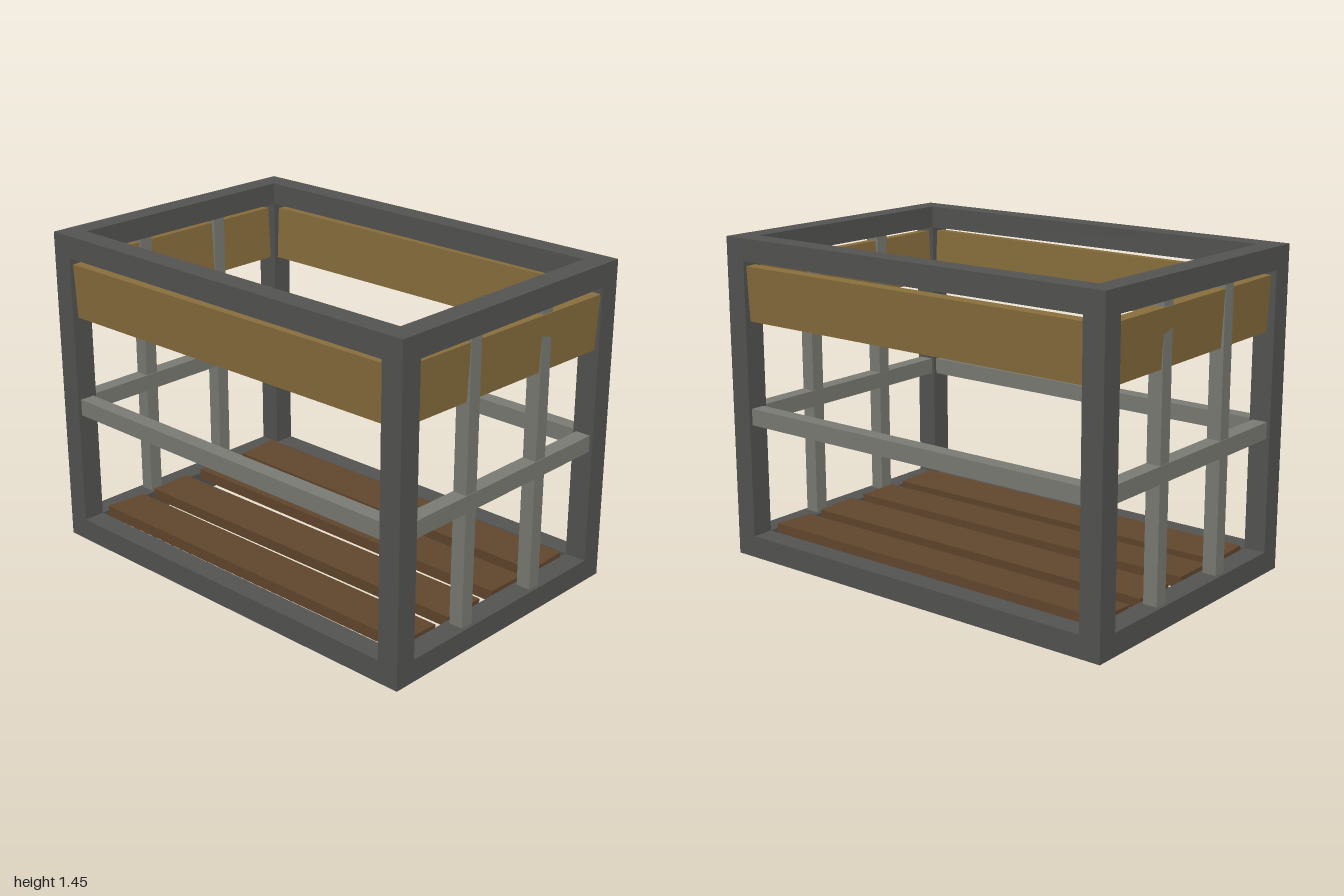
import * as THREE from 'three';

const W = 1.34, H = 1.45, D = 2, T = 0.1; // outer size and frame thickness
const X = (W - T) / 2, Z = (D - T) / 2;   // frame centre lines
const IW = W - 2 * T, ID = D - 2 * T;     // clear openings

const paint = (color) => new THREE.MeshStandardMaterial({ color, flatShading: true });

export function createModel() {
  const model = new THREE.Group();
  const steel = paint(0x555553), bar = paint(0x7c7d75);
  const plank = paint(0x8a6f3d), floor = paint(0x62472e);

  function box(parent, name, material, size, pos, rot = [0, 0, 0]) {
    const mesh = new THREE.Mesh(new THREE.BoxGeometry(...size), material);
    mesh.name = name;
    mesh.position.set(...pos);
    mesh.rotation.set(...rot);
    parent.add(mesh);
  }

  // Outer frame: corner posts, then rails at the bottom and top
  const frame = new THREE.Group();
  frame.name = 'frame';
  model.add(frame);
  for (const s of [-1, 1]) {
    for (const t of [-1, 1]) box(frame, 'cornerPost', steel, [T, H, T], [s * X, H / 2, t * Z]);
    for (const y of [T / 2, H - T / 2]) {
      box(frame, 'crossRail', steel, [IW, T, T], [0, y, s * Z]);
      box(frame, 'sideRail', steel, [T, T, ID], [s * X, y, 0]);
    }
  }

  // Each wall is built facing +z and turned into place; panels lean outward a little
  const walls = [
    { name: 'frontWall', turn: 0, length: IW, out: Z, yaw: -0.015, roll: -0.006, posts: true },
    { name: 'backWall', turn: Math.PI, length: IW, out: Z, yaw: 0.015, roll: 0.006, posts: true },
    { name: 'rightSideWall', turn: Math.PI / 2, length: ID, out: X, yaw: 0, roll: -0.003 },
    { name: 'leftSideWall', turn: -Math.PI / 2, length: ID, out: X, yaw: 0, roll: 0.005 },
  ];
  for (const w of walls) {
    const wall = new THREE.Group();
    wall.name = w.name;
    wall.rotation.y = w.turn;
    model.add(wall);
    box(wall, 'middleBar', bar, [w.length, 0.075, 0.07], [0, 0.652, w.out]);
    if (w.posts) {
      for (const s of [-1, 1]) {
        box(wall, 'uprightBar', bar, [0.063, H - 2 * T, 0.065], [s * 0.224, H / 2, w.out]);
      }
    }
    box(wall, 'upperPlank', plank, [w.length, 0.245, 0.052], [0, 1.202, w.out + 0.002], [0.05, w.yaw, w.roll]);
  }

  // Floor boards, laid slightly unevenly: x, yaw, roll
  const boards = [
    [-0.428, 0.002, -0.04], [-0.147, 0.006, 0.008],
    [0.145, 0, -0.03], [0.427, -0.003, 0.045],
  ];
  for (const [x, yaw, roll] of boards) {
    box(model, 'floorBoard', floor, [0.207, 0.05, ID], [x, 0.093, 0], [0, yaw, roll]);
  }
  return model;
}
